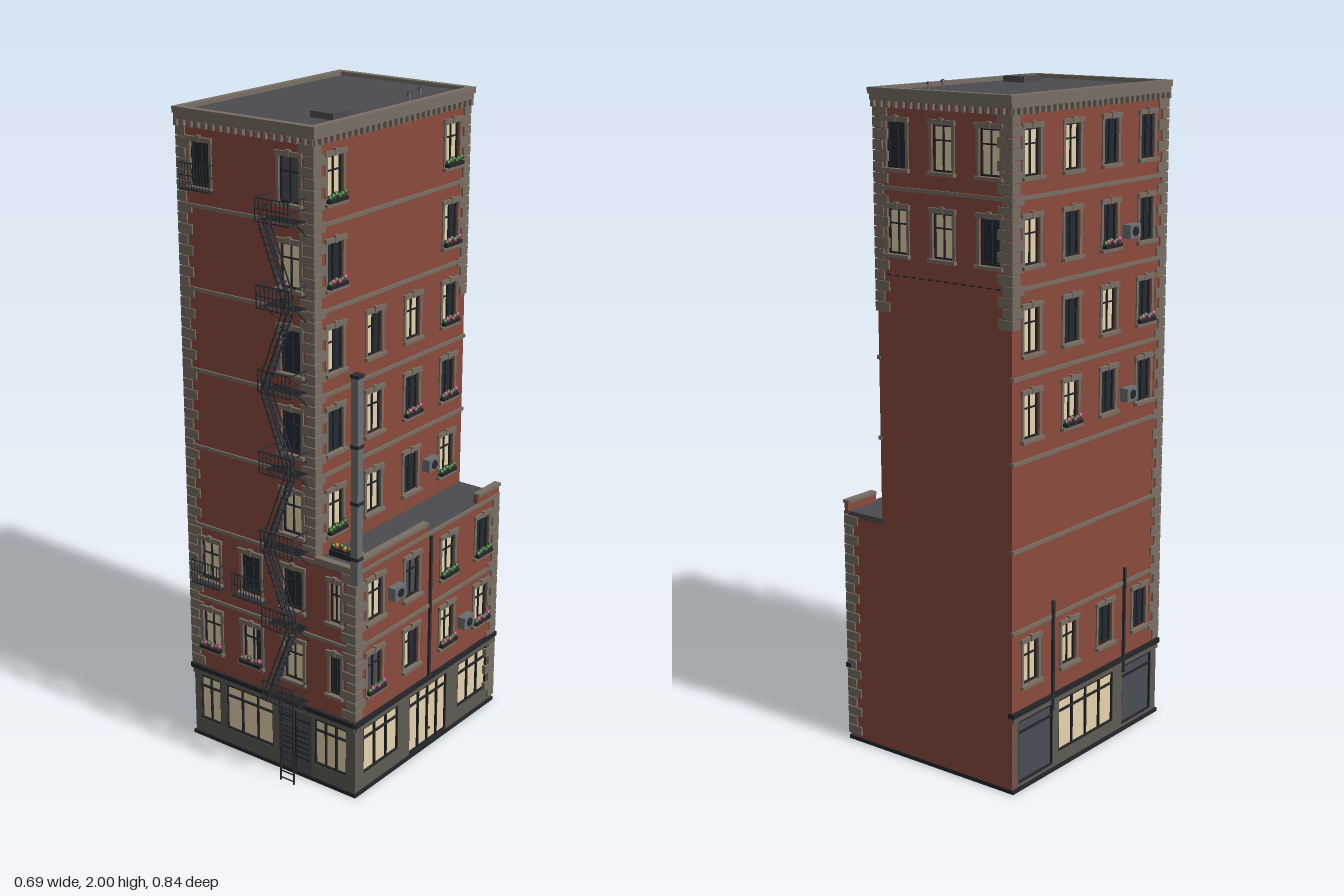
import * as THREE from 'three';

const mat = (color, flatShading = false) => new THREE.MeshStandardMaterial({ color, flatShading });
const M = {
  brick: mat(0x8a4a3d), stone: mat(0x786f63), base: mat(0x5f5b54), dark: mat(0x24262a), iron: mat(0x2b2e33),
  roof: mat(0x4b4c50), panel: mat(0x4a4d55), lit: mat(0xe8d3ad), glass: mat(0x222a32), grey: mat(0x4b4d52),
  metal: mat(0x6b6e70), leaf: mat(0x2f5a2a, true), pink: mat(0xa83a6a, true), orange: mat(0xc8702a, true),
};
// Wall planes and storey levels
const X0 = -0.315, X1 = 0.168, X2 = 0.312, Z0 = -0.405, Z1 = 0.338;
const BASE = 0.245, WING = 0.735, TOP = 1.96;
const ROWS = [0.385, 0.62, 0.86, 1.11, 1.35, 1.595, 1.835];
const unit = new THREE.BoxGeometry(1, 1, 1);
const bud = new THREE.IcosahedronGeometry(1, 0);

function group(parent, name) {
  const g = new THREE.Group();
  g.name = name;
  parent.add(g);
  return g;
}
function add(parent, name, geo, m) {
  const mesh = new THREE.Mesh(geo, m);
  mesh.name = name;
  parent.add(mesh);
  return mesh;
}
function box(parent, name, m, w, h, d, x, y, z) {
  const b = add(parent, name, unit, m);
  b.scale.set(w, h, d);
  b.position.set(x, y, z);
  return b;
}
// Box given by its limits
const span = (p, name, m, x0, x1, y0, y1, z0, z1) =>
  box(p, name, m, x1 - x0, y1 - y0, z1 - z0, (x0 + x1) / 2, (y0 + y1) / 2, (z0 + z1) / 2);
// Thin square bar between two points
function bar(parent, name, m, a, b, t = 0.003) {
  const A = new THREE.Vector3(...a), d = new THREE.Vector3(...b).sub(A), len = d.length();
  const mesh = box(parent, name, m, t, len, t, 0, 0, 0);
  mesh.position.copy(A).addScaledVector(d, 0.5);
  mesh.quaternion.setFromUnitVectors(new THREE.Vector3(0, 1, 0), d.normalize());
}
function rectPath(T, x0, x1, y0, y1) {
  return new T([[x0, y0], [x1, y0], [x1, y1], [x0, y1]].map(p => new THREE.Vector2(...p)));
}
// Horizontal rectangular frame
function ring(parent, name, m, x0, x1, z0, z1, t, y0, y1) {
  const s = rectPath(THREE.Shape, x0, x1, -z1, -z0);
  s.holes.push(rectPath(THREE.Path, x0 + t, x1 - t, -z1 + t, -z0 - t));
  const g = new THREE.ExtrudeGeometry(s, { depth: y1 - y0, bevelEnabled: false }).rotateX(-Math.PI / 2);
  add(parent, name, g, m).position.y = y0;
}
// Thin wall in a face's own frame, pierced by openings [u0, u1, y0, y1]
function wall(parent, name, m, u0, u1, y0, y1, holes = []) {
  const s = rectPath(THREE.Shape, u0, u1, y0, y1);
  holes.forEach(h => s.holes.push(rectPath(THREE.Path, ...h)));
  add(parent, name, new THREE.ExtrudeGeometry(s, { depth: 0.014, bevelEnabled: false }).translate(0, 0, -0.014), m);
}
function planter(parent, u, y, z, w, bloom) {
  const g = group(parent, 'flowerBox');
  box(g, 'trough', M.dark, w, 0.01, 0.014, u, y, z);
  const n = Math.round(w / 0.014);
  for (let i = 0; i < n; i++) {
    const f = add(g, 'plant', bud, i % 2 ? bloom : M.leaf);
    f.scale.setScalar(0.0095);
    f.position.set(u + ((i + 0.5) / n - 0.5) * w, y + 0.01 + 0.003 * (i % 3), z);
  }
}
function sashWindow(parent, u, y, kind, w = 0.07, h = 0.128) {
  const g = group(parent, 'window');
  g.position.set(u, y, 0);
  const k = kind.toUpperCase();
  box(g, 'glass', { L: M.lit, D: M.glass, G: M.grey, H: M.lit }[k], w, h, 0.003, 0, 0, -0.011);
  if (k === 'H') box(g, 'curtain', M.glass, w * 0.35, h, 0.003, w * 0.3, 0, -0.0095);
  for (const s of [-1, 1]) {
    box(g, 'frameSide', M.dark, 0.005, h, 0.006, s * (w / 2 - 0.0025), 0, -0.007);
    box(g, 'frameEnd', M.dark, w, 0.005, 0.006, 0, s * (h / 2 - 0.0025), -0.007);
    box(g, 'jamb', M.stone, 0.01, h, 0.006, s * (w / 2 + 0.005), 0, 0.001);
  }
  box(g, 'mullion', M.dark, 0.004, h, 0.005, 0, 0, -0.007);
  box(g, 'transom', M.dark, w, 0.004, 0.005, 0, h * 0.17, -0.007);
  box(g, 'lintel', M.stone, w + 0.026, 0.014, 0.01, 0, h / 2 + 0.007, 0.003);
  box(g, 'keystone', M.stone, 0.014, 0.02, 0.014, 0, h / 2 + 0.009, 0.003);
  box(g, 'sill', M.stone, w + 0.028, 0.01, 0.016, 0, -h / 2 - 0.005, 0.005);
  if (k !== kind) planter(g, 0, -h / 2 + 0.006, 0.011, w + 0.012, y * 10 % 2 > 1 ? M.pink : M.leaf);
}
function shopWindow(parent, [u0, u1, y0, y1], m, panes) {
  const g = group(parent, 'shopWindow'), w = u1 - u0;
  span(g, 'pane', m, u0, u1, y0, y1, -0.012, -0.008);
  for (let i = 0; i <= panes; i++) box(g, 'mullion', M.dark, 0.005, y1 - y0, 0.008, u0 + w * i / panes, (y0 + y1) / 2, -0.005);
  for (const y of [y0 + 0.003, y1 - 0.038, y1 - 0.003]) box(g, 'rail', M.dark, w, 0.005, 0.008, (u0 + u1) / 2, y, -0.005);
}
// One facade part: pierced wall plus its windows; rows are strings, a dot means no window
function storeys(f, u0, u1, y0, y1, cols, first, rows, widths = []) {
  const list = [];
  rows.forEach((r, i) => [...r].forEach((k, j) => k !== '.' && list.push([cols[j], ROWS[first + i], k, widths[j] || 0.07])));
  wall(f, 'brickWall', M.brick, u0, u1, y0, y1, list.map(([u, y, , w]) => [u - w / 2, u + w / 2, y - 0.064, y + 0.064]));
  list.forEach(([u, y, k, w]) => sashWindow(f, u, y, k, w));
}
function shopFront(f, u0, u1, openings) {
  wall(f, 'shopWall', M.base, u0, u1, 0, BASE, openings.map(o => o[0]));
  openings.forEach(o => shopWindow(f, ...o));
  box(f, 'shopCornice', M.dark, u1 - u0 + 0.012, 0.014, 0.02, (u0 + u1) / 2, BASE - 0.002, 0);
  box(f, 'shopFrieze', M.base, u1 - u0, 0.016, 0.012, (u0 + u1) / 2, BASE - 0.018, 0);
}
function bands(f, u0, u1, ys) {
  for (const y of ys) box(f, 'stringCourse', M.stone, u1 - u0 + 0.006, 0.011, 0.012, (u0 + u1) / 2, y, 0);
}
function dentils(f, u0, u1) {
  const n = Math.round((u1 - u0) / 0.027);
  for (let i = 0; i <= n; i++) box(f, 'dentil', M.stone, 0.011, 0.018, 0.014, u0 + (u1 - u0) * i / n, 1.946, 0.004);
}
function face(parent, name, x, z, turn) {
  const f = group(parent, name);
  f.position.set(x, 0, z);
  f.rotation.y = turn * Math.PI / 2;
  return f;
}
function quoins(parent, x, z, sx, sz, y0, y1) {
  const g = group(parent, 'quoins'), n = Math.round((y1 - y0) / 0.031), p = (y1 - y0) / n;
  for (let i = 0; i < n; i++) {
    const a = i % 2 ? 0.034 : 0.052, b = i % 2 ? 0.052 : 0.034;
    box(g, 'quoin', M.stone, a, p - 0.003, b, x + sx * (0.005 - a / 2), y0 + (i + 0.5) * p, z + sz * (0.005 - b / 2));
  }
}
function airConditioner(f, u, y) {
  box(f, 'airConditioner', M.metal, 0.055, 0.04, 0.03, u, y, 0.012);
  add(f, 'fan', new THREE.CylinderGeometry(0.014, 0.014, 0.003, 14).rotateX(Math.PI / 2), M.dark).position.set(u, y, 0.028);
}
function balcony(f, u, y) {
  const g = group(f, 'balcony'), w = 0.055, d = 0.026;
  box(g, 'balconyFloor', M.iron, w * 2, 0.004, d, u, y, d / 2);
  for (const h of [0.04, 0.075]) {
    bar(g, 'rail', M.iron, [u - w, y + h, d], [u + w, y + h, d]);
    for (const s of [-w, w]) bar(g, 'sideRail', M.iron, [u + s, y + h, 0], [u + s, y + h, d]);
  }
  for (let i = 0; i <= 10; i++) bar(g, 'baluster', M.iron, [u - w + w * i / 5, y, d], [u - w + w * i / 5, y + 0.075, d], 0.002);
}
function fireEscape(root) {
  const g = group(root, 'fireEscape'), a = 0.03, b = 0.145, za = Z1, zb = 0.384, zc = 0.418, step = 0.2433;
  for (let k = 0; k < 7; k++) {
    const y = 0.27 + k * step;
    for (let i = 0; i < 6; i++) bar(g, 'slat', M.iron, [a, y, za + 0.006 + i * 0.0076], [b, y, za + 0.006 + i * 0.0076]);
    for (const x of [a, b]) {
      bar(g, 'bracket', M.iron, [x, y - 0.045, za], [x, y, zb]);
      bar(g, 'beam', M.iron, [x, y, za], [x, y, zc]);
      bar(g, 'post', M.iron, [x, y, zc], [x, y + 0.065, zc]);
      for (const h of [0.035, 0.065]) bar(g, 'sideRail', M.iron, [x, y + h, za], [x, y + h, zc]);
    }
    for (const h of [0, 0.035, 0.065]) bar(g, 'frontRail', M.iron, [a, y + h, zc], [b, y + h, zc]);
    for (let i = 1; i < 8; i++) bar(g, 'baluster', M.iron, [a + (b - a) * i / 8, y, zc], [a + (b - a) * i / 8, y + 0.065, zc], 0.002);
    if (k === 6) break;
    // Flights alternate in direction
    const [s, e] = k % 2 ? [b - 0.01, a + 0.01] : [a + 0.01, b - 0.01];
    for (const z of [zb + 0.004, zc - 0.002]) {
      bar(g, 'stringer', M.iron, [s, y, z], [e, y + step, z], 0.004);
      bar(g, 'handrail', M.iron, [s, y + 0.045, z], [e, y + step + 0.045, z]);
    }
    for (let i = 1; i < 12; i++) box(g, 'tread', M.iron, 0.014, 0.003, zc - zb, s + (e - s) * i / 12, y + step * i / 12, (zb + zc) / 2);
  }
  for (const x of [0.085, 0.135]) bar(g, 'ladderRail', M.iron, [x, 0.01, 0.406], [x, 0.28, 0.406], 0.004);
  for (let i = 0; i < 11; i++) bar(g, 'rung', M.iron, [0.085, 0.02 + i * 0.023, 0.406], [0.135, 0.02 + i * 0.023, 0.406]);
}

export function createModel() {
  const root = new THREE.Group();
  root.name = 'apartmentBuilding';
  const levels = [0.985, 1.225, 1.47, 1.715];

  // Front
  const front = face(root, 'frontFacade', 0, Z1, 0);
  shopFront(front, X0, X2, [[[-0.29, -0.21, 0.06, 0.215], M.lit, 2], [[-0.185, 0, 0.06, 0.215], M.lit, 3],
    [[0.03, 0.145, 0.005, 0.225], M.panel, 2], [[0.162, 0.28, 0.06, 0.215], M.lit, 3]]);
  const fc = [-0.235, -0.075, 0.085, 0.24];
  storeys(front, X0, X2, BASE, WING, fc, 0, ['lhLD', 'LDDL'], [0.07, 0.07, 0.07, 0.038]);
  storeys(front, X0, X1, WING, TOP, fc, 2, ['..L', '..D', '..D', '..L', 'D.G']);
  bands(front, X0, X2, [0.49, WING - 0.004]);
  bands(front, X0, X1, levels);
  dentils(front, X0, X1);
  [[-0.235, 1.765], [-0.235, 0.545], [-0.075, 0.545]].forEach(p => balcony(front, ...p));
  for (let i = 0; i < 6; i++) box(front, 'gateBar', M.dark, 0.1, 0.004, 0.006, 0.0875, 0.06 + i * 0.018, -0.004);

  // Right side: low wing, then the tower set back behind it
  const cols = [-0.245, -0.06, 0.13, 0.32];
  const wing = face(root, 'wingFacade', X2, 0, 1);
  shopFront(wing, -Z1, -Z0, [[[-0.295, -0.12, 0.06, 0.215], M.lit, 3], [[-0.06, 0.14, 0.012, 0.215], M.lit, 4],
    [[0.205, 0.37, 0.06, 0.215], M.lit, 3]]);
  storeys(wing, -Z1, -Z0, BASE, WING, cols, 0, ['gHll', 'LGld']);
  bands(wing, -Z1, -Z0, [0.49, WING - 0.004]);
  bar(wing, 'doorHandle', M.dark, [0.03, 0.06, 0], [0.05, 0.06, 0], 0.005);
  bar(wing, 'downpipe', M.iron, [0.033, BASE, 0.005], [0.033, 0.72, 0.005], 0.008);
  airConditioner(wing, -0.152, 0.61);
  airConditioner(wing, 0.222, 0.365);
  const right = face(root, 'towerRightFacade', X1, 0, 1);
  storeys(right, -Z1, -Z0, WING - 0.01, TOP, cols, 2, ['lLDl', 'DLdd', 'HHLh', 'd..h', 'l..l']);
  bands(right, -Z1, -Z0, levels);
  dentils(right, -Z1, -Z0);
  airConditioner(right, 0.222, 0.86);

  // Left side
  const left = face(root, 'leftFacade', X0, 0, -1);
  shopFront(left, Z0, Z1, [[[-0.375, -0.21, 0.02, 0.215], M.panel, 1], [[-0.18, 0.1, 0.05, 0.215], M.lit, 4],
    [[0.15, 0.31, 0.02, 0.215], M.panel, 1]]);
  storeys(left, Z0, Z1, BASE, TOP, [-0.32, -0.135, 0.05, 0.235], 0, ['LLDD', '....', '....', 'LlDD', 'LDLd', 'LDdD', 'LLDD']);
  bands(left, Z0, Z1, [0.49, WING - 0.004, ...levels]);
  dentils(left, Z0, Z1);
  airConditioner(left, 0.143, 1.57);
  airConditioner(left, 0.143, 1.085);
  for (const u of [-0.22, 0.145]) bar(left, 'ventPipe', M.iron, [u, 0.2, 0.007], [u, 0.54, 0.007], 0.008);

  // Back: blank party wall with two open storeys at the top
  const back = face(root, 'backFacade', 0, Z0, 2);
  wall(back, 'partyWall', M.brick, -X2, -X0, 0, WING);
  storeys(back, -X1, -X0, WING, TOP, [-0.09, 0.075, 0.24], 5, ['LLD', 'DLL']);
  bands(back, -X1, -X0, [1.715]);
  dentils(back, -X1, -X0);
  for (let i = 0; i < 16; i++) box(back, 'wallTie', M.dark, 0.016, 0.004, 0.004, -X1 + 0.015 + i * 0.03, 1.47, 0);

  // Corner stones
  quoins(root, X0, Z1, -1, 1, 0.255, 1.94);
  quoins(root, X1, Z1, 1, 1, 0.745, 1.94);
  quoins(root, X2, Z1, 1, 1, 0.255, 0.725);
  quoins(root, X2, Z0, 1, -1, 0.02, 0.725);
  quoins(root, X1, Z0, 1, -1, 1.36, 1.94);
  quoins(root, X0, Z0, -1, -1, 1.36, 1.94);

  // Plinth, tower roof and cornice
  ring(root, 'plinth', M.dark, X0 - 0.005, X2 + 0.005, Z0 - 0.002, Z1 + 0.005, 0.03, 0, 0.012);
  span(root, 'towerRoof', M.roof, X0, X1, 1.96, 1.978, Z0, Z1);
  ring(root, 'cornice', M.stone, X0 - 0.007, X1 + 0.009, Z0 - 0.011, Z1 + 0.009, 0.02, 1.955, 1.972);
  ring(root, 'parapetCap', M.stone, X0 - 0.01, X1 + 0.013, Z0 - 0.016, Z1 + 0.012, 0.023, 1.972, 1.99);
  span(root, 'roofHatch', M.roof, 0.045, 0.124, 1.97, 1.996, 0.118, 0.196);
  for (const [x, z] of [[0.088, -0.266], [0.116, -0.171]]) {
    add(root, 'roofVent', new THREE.CylinderGeometry(0.004, 0.004, 0.024, 10), M.metal).position.set(x, 1.985, z);
    add(root, 'ventCap', new THREE.CylinderGeometry(0.005, 0.008, 0.006, 12), M.iron).position.set(x, 1.997, z);
  }

  // Wing roof with a broken parapet, planter and flue
  span(root, 'wingRoof', M.roof, X1 - 0.005, X2, 0.72, 0.737, Z0, Z1);
  span(root, 'frontCoping', M.stone, X1, X2, 0.73, 0.748, Z1 - 0.014, Z1 + 0.008);
  for (const [z0, z1] of [[Z0 - 0.004, -0.285], [-0.015, Z1]]) {
    span(root, 'wingParapet', M.brick, X2 - 0.012, X2 + 0.002, 0.73, 0.762, z0, z1);
    span(root, 'parapetCoping', M.stone, X2 - 0.014, X2 + 0.008, 0.76, 0.77, z0, z1);
  }
  span(root, 'flue', M.metal, 0.301, 0.325, 0.7, 1.325, 0.322, 0.346);
  for (const y of [0.78, 0.95, 1.12, 1.325]) box(root, 'flueCollar', M.iron, 0.028, 0.01, 0.028, 0.313, y, 0.334);
  planter(root, 0.236, 0.755, 0.276, 0.112, M.orange);
  span(root, 'planterBase', M.dark, 0.18, 0.292, 0.737, 0.755, 0.262, 0.29);

  fireEscape(root);
  return root;
}
